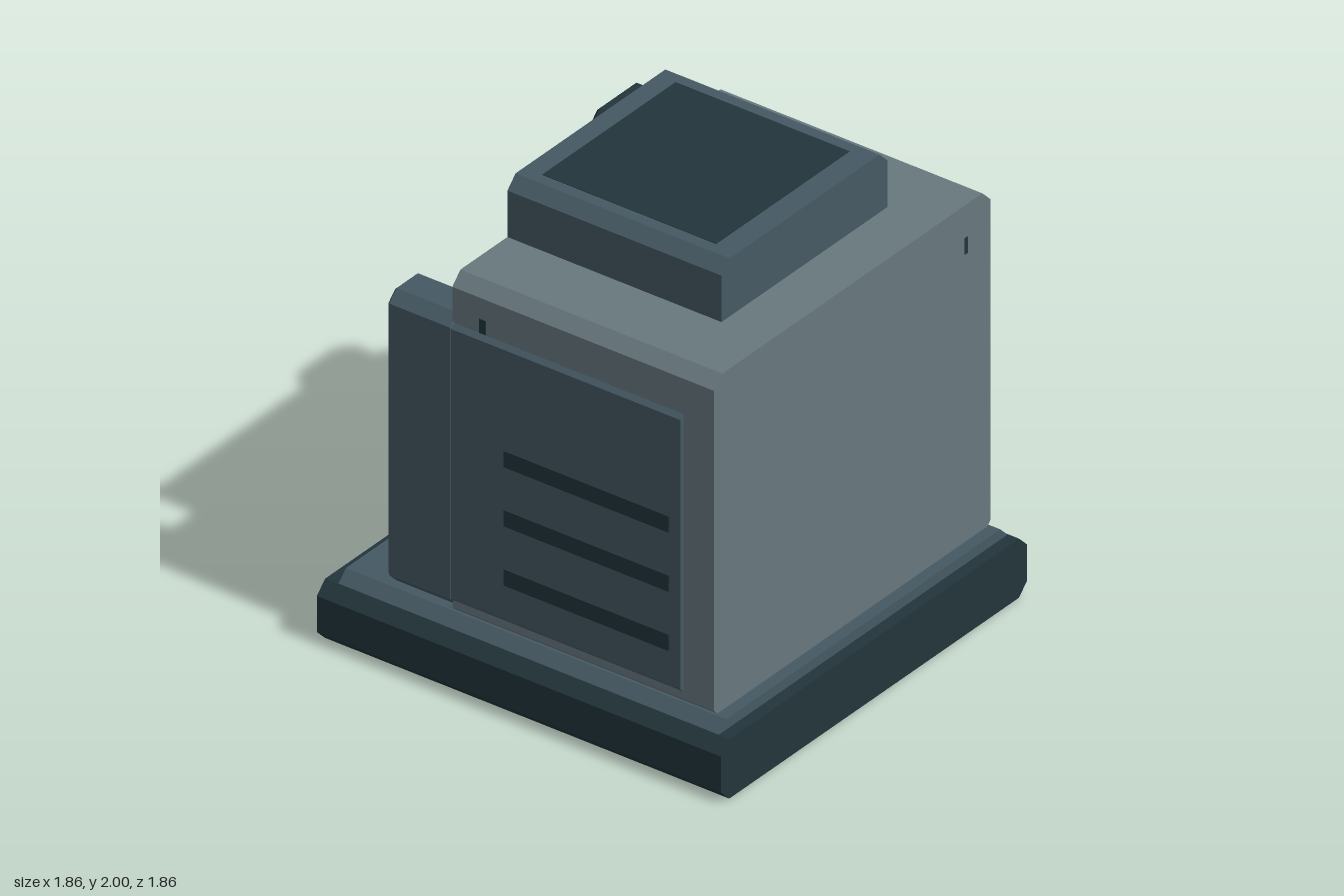
import * as THREE from 'three';

export function createModel() {
  const model = new THREE.Group();
  model.name = 'robotCube';

  const mat = (name, color) => {
    const m = new THREE.MeshStandardMaterial({ color });
    m.name = name;
    return m;
  };
  const light = mat('lightGrey', 0x68787e);
  const slate = mat('slateBlue', 0x455963);
  const dark = mat('darkTeal', 0x22353b);
  const glow = mat('glowCyan', 0x66b4b3);

  const add = (name, geometry, material, parent = model) => {
    const mesh = new THREE.Mesh(geometry, material);
    mesh.name = name;
    parent.add(mesh);
    return mesh;
  };

  // Box given by its limits, with its four z-running edges cut by c and its ends bevelled by b
  const block = (x0, x1, y0, y1, z0, z1, c, b = 0) => {
    const s = new THREE.Shape([
      [x0 + c, y0], [x1 - c, y0], [x1, y0 + c], [x1, y1 - c],
      [x1 - c, y1], [x0 + c, y1], [x0, y1 - c], [x0, y0 + c],
    ].map(([x, y]) => new THREE.Vector2(x, y)));
    const g = new THREE.ExtrudeGeometry(s, {
      depth: z1 - z0 - 2 * b, bevelEnabled: b > 0, bevelThickness: b,
      bevelSize: b, bevelOffset: -b, bevelSegments: 1,
    });
    return g.translate(0, 0, z0 + b);
  };
  const box = (w, h, d, x, y, z) => new THREE.BoxGeometry(w, h, d).translate(x, y, z);

  // Base and main housing
  add('base', block(-0.93, 0.93, 0, 0.255, -0.93, 0.93, 0.05), dark);
  add('baseTier', block(-0.88, 0.88, 0.2, 0.3, -0.87, 0.88, 0.048), slate);
  add('body', block(-0.84, 0.84, 0.27, 1.75, -0.375, 0.83, 0.05), light);
  add('topCap', block(-0.505, 0.505, 1.68, 2, -0.375, 0.61, 0.05), slate);
  add('topInset', box(0.81, 0.006, 0.8, 0, 1.999, 0.11), dark);

  // Side panels with vents, and the upright fins behind them
  for (const side of [-1, 1]) {
    const name = side > 0 ? 'left' : 'right';
    const span = (a, b) => (side > 0 ? [a, b] : [-b, -a]);
    add(name + 'Panel', block(...span(0.79, 0.858), 0.35, 1.55, -0.645, 0.69, 0.02), slate);
    add(name + 'Fin', block(...span(0.64, 0.86), 0.32, 1.58, -0.66, -0.36, 0.045, 0.01), slate);
    for (const y of [0.555, 0.81, 1.065]) {
      add(name + 'Vent', box(0.009, 0.07, 0.76, side * 0.861, y, 0.26), dark);
    }
    add(name + 'Slot', box(0.006, 0.06, 0.03, side * 0.84, 1.58, -0.235), dark);
  }
  add('frontSlot', box(0.018, 0.07, 0.006, 0.69, 1.575, 0.83), dark);

  // Rear face: backing plate, dial ring, disc and eyes
  add('backPlate', block(-0.635, 0.635, 0.3, 1.55, -0.49, -0.36, 0.025, 0.01), dark);
  const face = new THREE.Group();
  face.name = 'face';
  face.position.y = 1.01;
  model.add(face);
  const ring = new THREE.TorusGeometry(0.41, 0.06, 6, 12).toNonIndexed();
  ring.computeVertexNormals();
  add('faceRing', ring.translate(0, 0, -0.64), slate, face);
  const disc = new THREE.CylinderGeometry(0.38, 0.38, 0.08, 12).toNonIndexed();
  disc.computeVertexNormals();
  add('faceDisc', disc.rotateY(Math.PI / 2).rotateX(Math.PI / 2).translate(0, 0, -0.52), dark, face);
  for (const x of [-0.155, 0.155]) {
    add('eye', block(x - 0.065, x + 0.065, -0.16, 0.16, -0.592, -0.55, 0.035, 0.015), glow, face);
  }

  // Control tray with indicator bars and a status pill
  add('tray', block(-0.505, 0.505, 0.305, 0.575, -0.81, -0.47, 0.05, 0.012), dark);
  for (let i = 0; i < 5; i++) {
    const end = i === 0 || i === 4;
    add('indicatorBar', box(end ? 0.03 : 0.046, 0.14, 0.008, 0.36 - i * 0.08, 0.425, -0.811), end ? slate : glow);
  }
  add('statusPill', block(-0.295, -0.065, 0.395, 0.455, -0.815, -0.807, 0.025), glow);

  // Sensor box on the upper corner
  add('sensorBox', block(0.44, 0.785, 1.36, 1.685, -0.727, -0.625, 0.06, 0.015), dark);
  const lens = new THREE.CylinderGeometry(0.032, 0.032, 0.008, 12);
  add('sensorLens', lens.rotateX(Math.PI / 2).translate(0.69, 1.52, -0.728), glow);
  [0.05, 0.03, 0.05].forEach((w, i) => {
    add('sensorMark', box(w, 0.016, 0.006, 0.575, 1.56 - i * 0.042, -0.728), glow);
  });

  return model;
}
